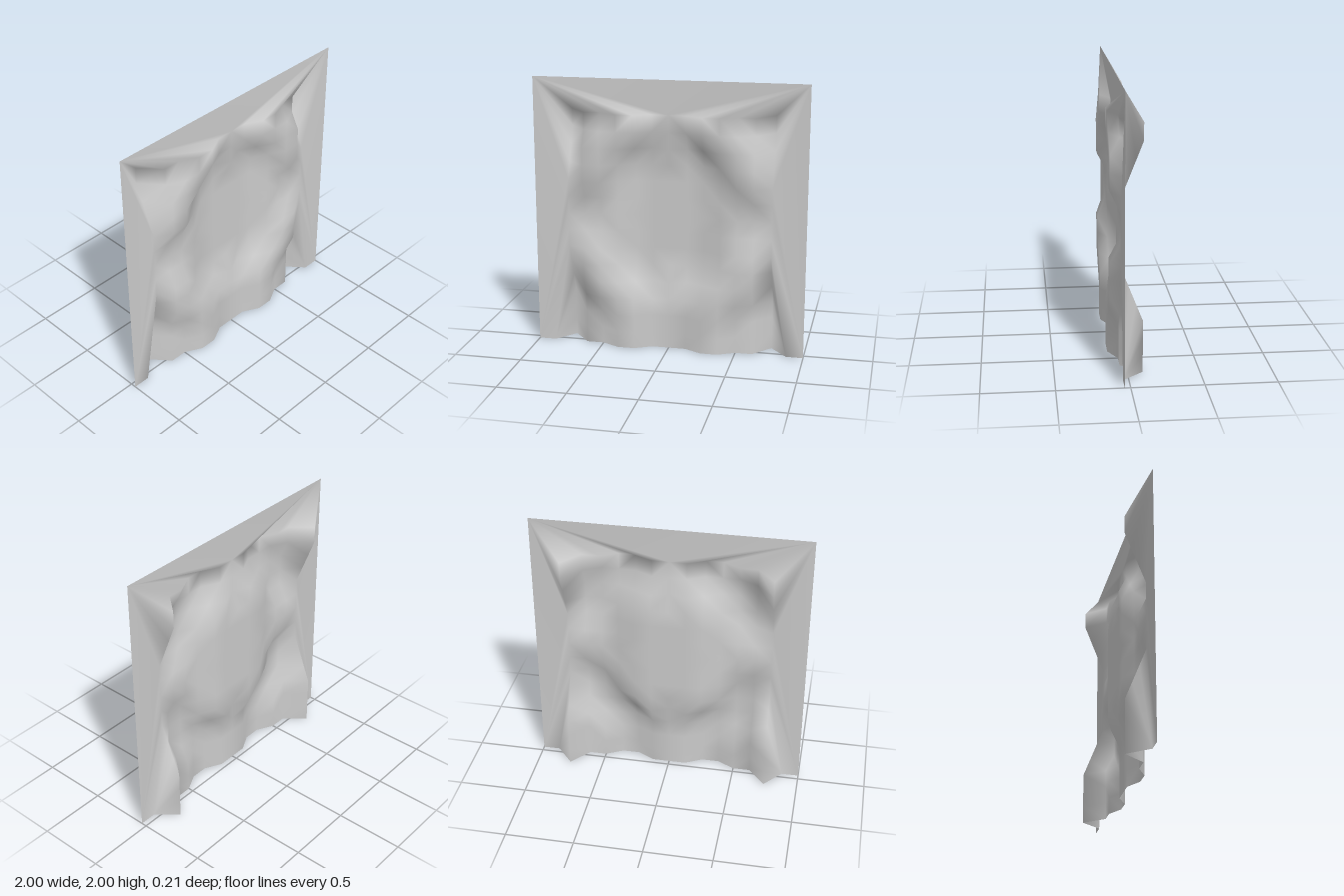
import * as THREE from 'three';

const STEP = 0.125, BASE = 0.04, BUMP = 0.105, DIP = -0.02, GROOVE = -0.108;

// Raised range of v (distance from the middle height) for each column
const bumps = { 0.25: [0.625, 0.75], 0.375: [0.5, 0.75], 0.5: [0.25, 0.625], 0.625: [0.25, 0.5] };
// Half height of the sunken oval for each column
const oval = { 0: 0.375, 0.125: 0.5, 0.25: 0.375 };

// Relief depth, mirrored left to right and about the middle height
function relief(x, y) {
  const a = Math.abs(x), v = Math.min(Math.abs(y - 1), 0.75);
  if (a === 0.75) return THREE.MathUtils.lerp(BASE, GROOVE, THREE.MathUtils.clamp((v - 0.25) / 0.375, 0, 1));
  if (a in oval && v <= oval[a]) return DIP;
  if (a in bumps && v >= bumps[a][0] && v <= bumps[a][1]) return BUMP;
  return BASE;
}

export function createModel() {
  const positions = [], index = [];
  const vertex = (x, y, z) => positions.push(x, y, z) / 3 - 1;

  // Adds a triangle, always turned to the front
  const tri = (a, b, c) => {
    const X = (i) => positions[i * 3], Y = (i) => positions[i * 3 + 1];
    const area = (X(b) - X(a)) * (Y(c) - Y(a)) - (X(c) - X(a)) * (Y(b) - Y(a));
    if (area > 0) index.push(a, b, c);
    else index.push(a, c, b);
  };

  // Inner relief grid
  const cols = 12, rows = 14, grid = [];
  for (let j = 0; j <= rows; j++) {
    grid.push([]);
    for (let i = 0; i <= cols; i++) {
      const x = -0.75 + i * STEP, y = j * STEP;
      grid[j].push(vertex(x, y, relief(x, y)));
    }
  }
  for (let j = 0; j < rows; j++) {
    for (let i = 0; i < cols; i++) {
      const a = grid[j][i], b = grid[j][i + 1], c = grid[j + 1][i + 1], d = grid[j + 1][i];
      // Diagonals follow the round outline in each quarter
      if ((i < cols / 2) === (j < 8)) { tri(a, b, d); tri(b, c, d); }
      else { tri(a, b, c); tri(a, c, d); }
    }
  }

  // Flat outer border: long fans from the corners to the relief
  const topCorners = [];
  for (const s of [-1, 1]) {
    const top = vertex(s, 2, BASE), bottom = vertex(s, 0, BASE), foot = vertex(s * 0.875, 0, BASE);
    const edge = s < 0 ? 0 : cols;
    topCorners.push(top);
    for (let k = 0; k < cols / 2; k++) tri(top, grid[rows][edge - s * k], grid[rows][edge - s * (k + 1)]);
    for (let j = 0; j < rows; j++) {
      const hub = j < 6 ? foot : j < 10 ? bottom : top;
      tri(hub, grid[j][edge], grid[j + 1][edge]);
    }
    tri(bottom, foot, grid[6][edge]);
    tri(bottom, top, grid[10][edge]);
  }
  tri(topCorners[0], topCorners[1], grid[rows][cols / 2]);

  const geometry = new THREE.BufferGeometry();
  geometry.setAttribute('position', new THREE.Float32BufferAttribute(positions, 3));
  geometry.setIndex(index);
  geometry.computeVertexNormals();

  const panel = new THREE.Mesh(geometry, new THREE.MeshStandardMaterial({ color: 0xcccccc, side: THREE.DoubleSide }));
  panel.name = 'reliefPanel';
  const model = new THREE.Group();
  model.name = 'wallPanel';
  model.add(panel);
  return model;
}
